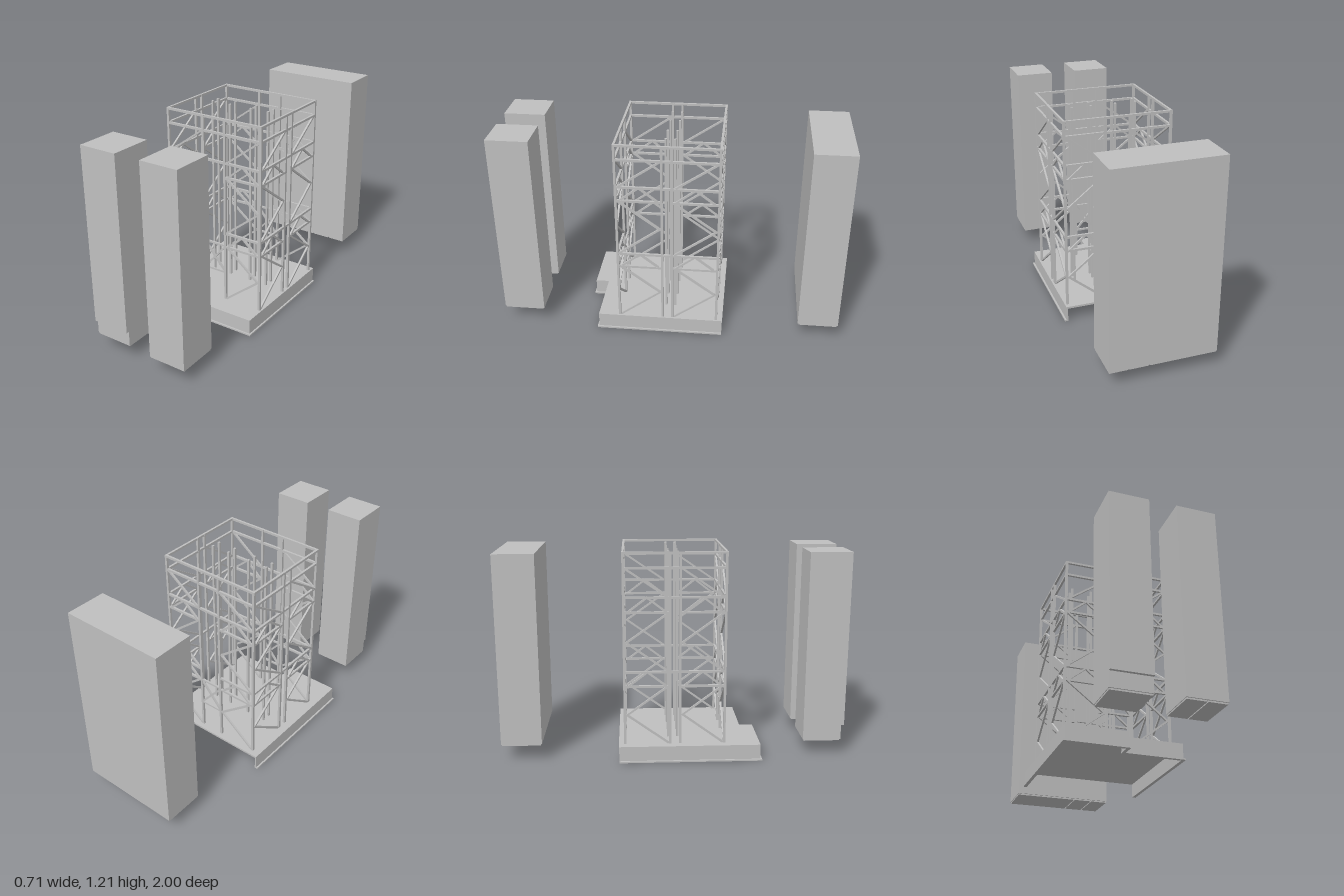
import * as THREE from 'three';

export function createModel() {
  const model = new THREE.Group();
  model.name = 'towerFrameWithBlocks';
  const grey = new THREE.MeshStandardMaterial({ color: 0xbfbfbf });
  grey.name = 'light grey';

  // axis-aligned box from its limits
  function block(name, parent, x0, x1, y0, y1, z0, z1) {
    const m = new THREE.Mesh(new THREE.BoxGeometry(x1 - x0, y1 - y0, z1 - z0), grey);
    m.position.set((x0 + x1) / 2, (y0 + y1) / 2, (z0 + z1) / 2);
    m.name = name;
    parent.add(m);
    return m;
  }

  // square bar between two points
  function bar(name, parent, a, b, t = 0.013) {
    const p = new THREE.Vector3(...a), q = new THREE.Vector3(...b);
    const m = new THREE.Mesh(new THREE.BoxGeometry(t, t, p.distanceTo(q) + t * 0.9), grey);
    m.position.copy(p).add(q).multiplyScalar(0.5);
    m.lookAt(q);
    m.name = name;
    parent.add(m);
  }

  // Base: thin slab, skirt walls on three sides, outward flange at the foot
  const base = new THREE.Group();
  base.name = 'base';
  model.add(base);
  const plan = [[0.345, -0.32], [0.345, 0.42], [0, 0.42], [0, 0.5], [-0.345, 0.5], [-0.345, -0.32]];
  const shape = new THREE.Shape(plan.map(([x, z]) => new THREE.Vector2(x, -z)));
  const slabGeo = new THREE.ExtrudeGeometry(shape, { depth: 0.012, bevelEnabled: false });
  slabGeo.rotateX(-Math.PI / 2);
  const slab = new THREE.Mesh(slabGeo, grey);
  slab.position.y = 0.083;
  slab.name = 'baseSlab';
  base.add(slab);

  const strip = (name, width, offset, y0, y1) => {
    for (let i = 0; i < plan.length - 1; i++) {
      const [ax, az] = plan[i], [bx, bz] = plan[i + 1];
      const len = Math.hypot(bx - ax, bz - az);
      const nx = (bz - az) / len, nz = -(bx - ax) / len;
      const cx = nx * offset, cz = nz * offset;
      const ex = Math.abs(nx) * width / 2, ez = Math.abs(nz) * width / 2;
      const grow = offset + width / 2;
      const gx = ex ? 0 : grow;
      const back = (z) => Math.max(z, -0.318);
      block(name, base,
        Math.min(ax, bx) + cx - ex - gx, Math.max(ax, bx) + cx + ex + gx, y0, y1,
        back(Math.min(az, bz) + cz - ez), Math.max(az, bz) + cz + ez + (ez ? 0 : grow));
    }
  };
  strip('skirtWall', 0.01, -0.005, 0.004, 0.094);
  strip('skirtFlange', 0.02, 0, 0, 0.009);

  // Tower: four braced faces
  const tower = new THREE.Group();
  tower.name = 'tower';
  model.add(tower);
  const X0 = -0.291, X1 = 0.328, Z0 = -0.283, Z1 = 0.293;
  const FOOT = 0.095, TOP = 1.204;

  // bracing of one bay; at(u, y) gives a point, u runs from a to b
  function braceBay(at, a, b) {
    const line = (u0, y0, u1, y1) =>
      bar('brace', tower, at(a + (b - a) * u0, y0), at(a + (b - a) * u1, y1), 0.011);
    for (const y of [0.44, 0.87]) bar('bayRail', tower, at(a, y), at(b, y));
    line(0.07, 0.96, 0.95, 1.115);
    for (const [y0, y1] of [[0.1, 0.44], [0.53, 0.865]]) {
      line(0.05, y1, 0.95, (y0 + y1) / 2);
      line(0.95, (y0 + y1) / 2, 0.05, y0);
    }
    for (const [y0, y1] of [[0.445, 0.525], [0.875, 0.955]]) {
      line(0.1, y0, 0.5, y1);
      line(0.5, y1, 0.9, y0);
    }
  }

  // left and right faces
  for (const x of [X0, X1]) {
    const at = (u, y) => [x, y, u];
    for (const z of [Z1, 0.036, -0.021, Z0]) bar('column', tower, at(z, FOOT), at(z, TOP), 0.014);
    for (const y of [0.525, 0.955, 1.12, TOP]) bar('rail', tower, at(Z1, y), at(Z0, y));
    braceBay(at, Z1, 0.036);
    braceBay(at, -0.021, Z0);
  }

  // front and back faces, with a crossed panel in the narrow middle bay
  const M0 = -0.049, M1 = 0.094;
  for (const z of [Z0, Z1]) {
    const at = (u, y) => [u, y, z];
    for (const x of [M0, M1]) bar('column', tower, at(x, FOOT), at(x, TOP), 0.014);
    for (const y of [0.955, 1.12, TOP]) bar('rail', tower, at(X0, y), at(X1, y));
    for (const y of [0.273, 0.445]) bar('panelRail', tower, at(M0, y), at(M1, y), 0.011);
    bar('panelCross', tower, at(M0, 0.275), at(M1, 0.44), 0.011);
    bar('panelCross', tower, at(M0, 0.44), at(M1, 0.275), 0.011);
    for (const [a, b] of [[X0, M0], [M1, X1]]) {
      bar('rail', tower, at(a, 0.525), at(b, 0.525));
      braceBay(at, a, b);
    }
  }

  // free-standing posts in two rows inside the tower
  for (const x of [-0.175, -0.053, 0.09, 0.205])
    for (const z of [-0.028, 0.026]) bar('innerPost', tower, [x, FOOT, z], [x, 1.195, z], 0.013);

  // Blocks standing clear of the front and back, each on a slightly inset foot
  const blocks = new THREE.Group();
  blocks.name = 'blocks';
  model.add(blocks);
  const tall = (x0, x1, z0, z1, bottom = 0.097) => {
    block('tallBlock', blocks, x0, x1, bottom, 1.2, z0, z1);
    block('blockFoot', blocks, x0 + 0.003, x1 - 0.003, 0.088, bottom, z0 + 0.006, z1 - 0.006);
  };
  tall(-0.28, 0.1, -1, -0.765);
  tall(0.1, 0.215, -1, -0.765);
  tall(0.215, 0.325, -1, -0.765);
  tall(0.1, 0.215, 0.76, 1);
  tall(0.215, 0.325, 0.76, 1);

  // front block with a recessed lower front
  block('tallBlock', blocks, -0.28, -0.055, 0.183, 1.2, 0.76, 1);
  block('lowerBlock', blocks, -0.28, -0.055, 0.097, 0.183, 0.76, 0.983);
  block('blockFoot', blocks, -0.277, -0.058, 0.088, 0.097, 0.766, 0.977);

  return model;
}
